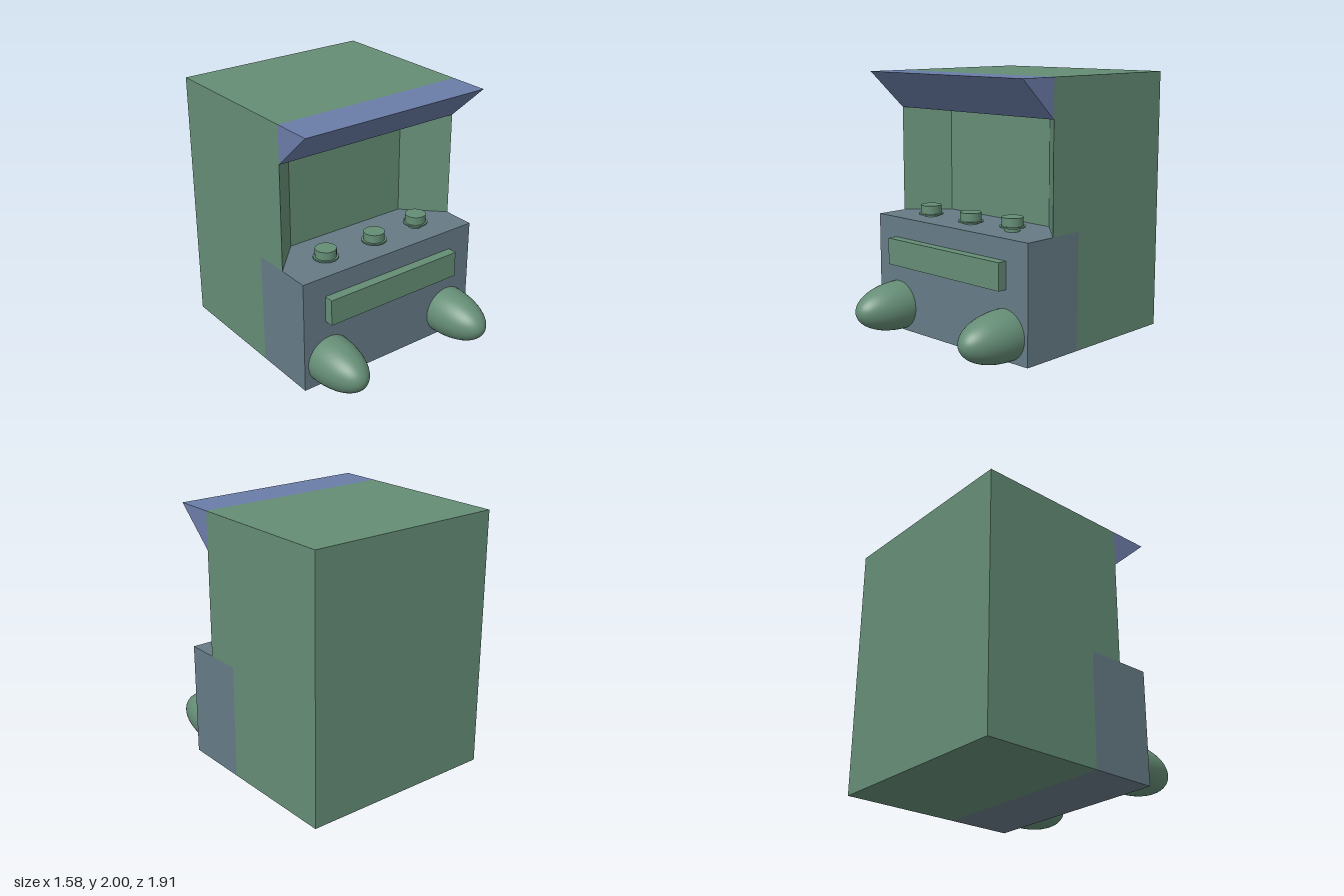
import * as THREE from 'three';

export function createModel() {
  const model = new THREE.Group();
  model.name = 'arcadeCabinet';

  const material = (name, color) => {
    const m = new THREE.MeshStandardMaterial({ color });
    m.name = name;
    return m;
  };
  const green = material('sageGreen', 0x658d76);
  const slate = material('slateGrey', 0x667b86);
  const blue = material('dustyBlue', 0x6b7da8);

  const add = (name, geometry, mat, parent = model) => {
    const mesh = new THREE.Mesh(geometry, mat);
    mesh.name = name;
    parent.add(mesh);
    return mesh;
  };

  // Box given by its limits on each axis
  const box = (name, [x0, x1], [y0, y1], [z0, z1], mat) =>
    add(name, new THREE.BoxGeometry(x1 - x0, y1 - y0, z1 - z0), mat)
      .position.set((x0 + x1) / 2, (y0 + y1) / 2, (z0 + z1) / 2);

  const outline = (points) => new THREE.Shape(points.map(([a, b]) => new THREE.Vector2(a, b)));
  const L = -0.793, R = 0.79;

  // Cabinet body: main block and the head above the screen recess
  box('cabinet', [L, R], [0, 2], [-0.953, 0], green);
  box('cabinetHead', [L, R], [1.71, 2], [0, 0.277], green);

  // Splayed cheeks beside the recess, plan outlines drawn as (x, -z)
  for (const [name, outer, inner] of [['rightCheek', L, -0.53], ['leftCheek', R, 0.51]]) {
    const cheek = new THREE.ExtrudeGeometry(
      outline([[outer, 0], [inner, 0], [outer, -0.277]]),
      { depth: 0.825, bevelEnabled: false });
    cheek.rotateX(-Math.PI / 2).translate(0, 0.887, 0);
    add(name, cheek, green);
  }

  // Overhanging wedge canopy, profile drawn as (-z, y)
  const canopy = new THREE.ExtrudeGeometry(
    outline([[-0.277, 1.71], [-0.277, 2], [-0.592, 2]]),
    { depth: R - L, bevelEnabled: false });
  canopy.rotateY(Math.PI / 2).translate(L, 0, 0);
  add('canopy', canopy, blue);

  // Control console and its front bar
  box('console', [L, R], [0, 0.888], [0, 0.53], slate);
  box('frontBar', [-0.603, 0.583], [0.525, 0.73], [0.53, 0.605], green);

  // Domed bumpers: a short collar running into a half ellipsoid
  const profile = [new THREE.Vector2(0.19, -0.02)];
  for (let i = 0; i <= 20; i++) {
    const a = (i / 20) * Math.PI / 2;
    profile.push(new THREE.Vector2(0.19 * Math.cos(a), 0.405 * Math.sin(a)));
  }
  const dome = new THREE.LatheGeometry(profile, 40).rotateX(Math.PI / 2);
  add('rightDome', dome, green).position.set(-0.57, 0.195, 0.535);
  add('leftDome', dome, green).position.set(0.571, 0.195, 0.548);

  // Push buttons: stem, flange and cap
  const knobs = [[-0.435, 0, 0.31], [0.01, 0, 0.315], [0.427, 0.017, 0.302]];
  knobs.forEach(([x, lift, z], i) => {
    const button = new THREE.Group();
    button.name = `button${i + 1}`;
    button.position.set(x, 0.888 + lift, z);
    const disc = (name, r, y0, y1) =>
      add(name, new THREE.CylinderGeometry(r, r, y1 - y0, 32), green, button)
        .position.y = (y0 + y1) / 2;
    disc('stem', 0.056, -lift - 0.005, 0.015);
    disc('flange', 0.095, 0.013, 0.024);
    disc('cap', 0.08, 0.024, 0.088);
    model.add(button);
  });

  return model;
}
